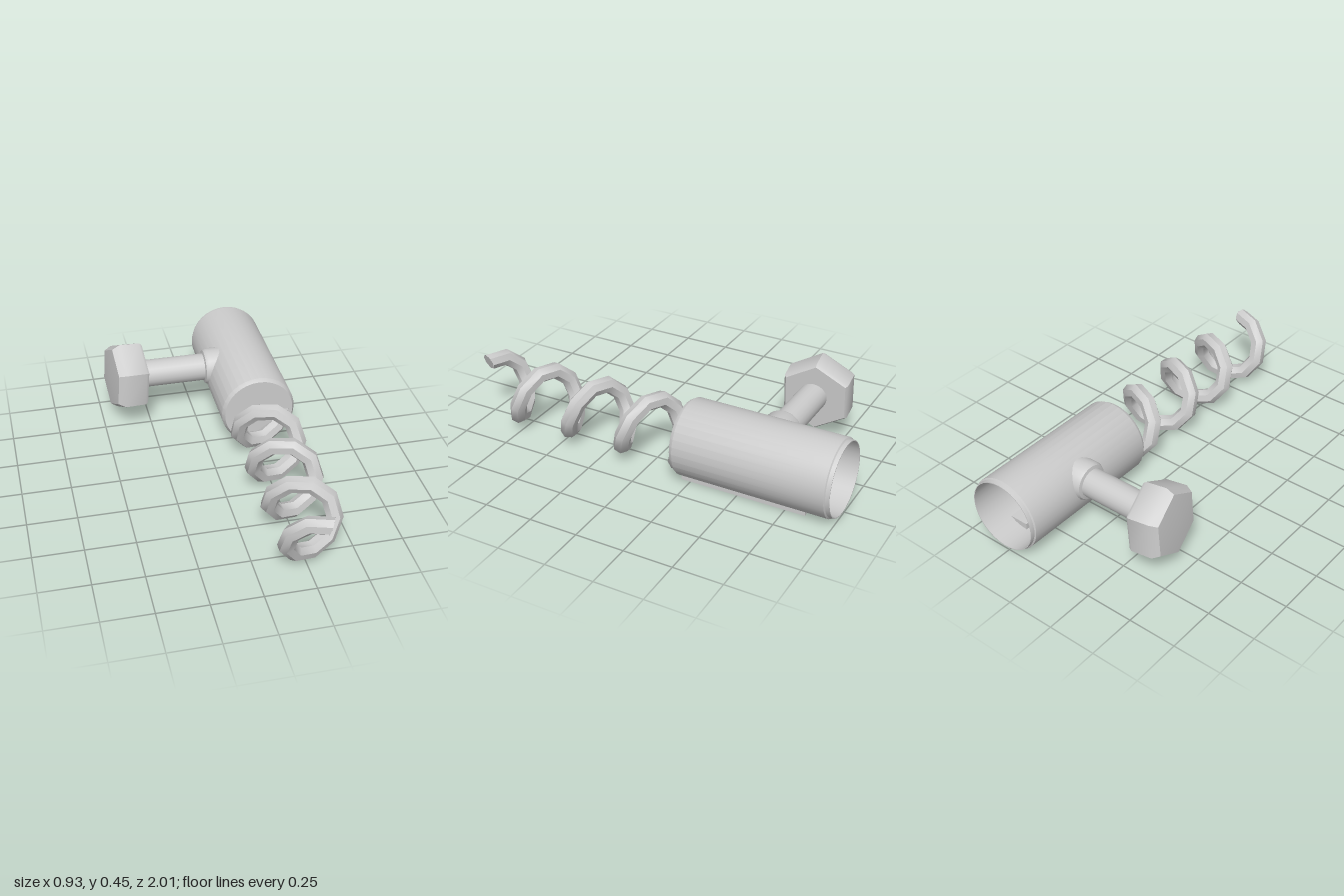
import * as THREE from 'three';
import { toCreasedNormals } from 'three/addons/utils/BufferGeometryUtils.js';

const CX = 0.274, CY = 0.202;   // common axis of the barrel and the coil
const BAR_Y = 0.257, BAR_Z = -0.6;

export function createModel() {
  const model = new THREE.Group();
  const mat = new THREE.MeshStandardMaterial({ color: 0xcccccc, side: THREE.DoubleSide });

  const add = (name, geo, x = 0, y = 0, z = 0) => {
    const mesh = new THREE.Mesh(geo, mat);
    mesh.name = name;
    mesh.position.set(x, y, z);
    model.add(mesh);
    return mesh;
  };
  const lathe = (pts, segments, start = 0) => toCreasedNormals(
    new THREE.LatheGeometry(pts.map(p => new THREE.Vector2(...p)), segments, start), 0.6);

  // Hollow barrel, open at the back, closed and bevelled at the front
  add('barrel', lathe([
    [0, -0.24], [0.182, -0.24], [0.182, -1], [0.186, -1], [0.188, -0.98],
    [0.195, -0.975], [0.195, -0.2], [0.182, -0.18], [0, -0.18],
  ], 32), CX, CY, 0).rotation.x = Math.PI / 2;

  // Flat strip along the underside of the barrel
  add('undersideStrip', new THREE.BoxGeometry(0.1, 0.04, 0.65), 0.325, 0.033, -0.53);

  // Coarse helix: starts inside the barrel face, ends at the top of the last turn
  const R = 0.138, r = 0.043, pitch = 0.31, z0 = -0.21, z1 = 0.965, topZ = 0.02;
  const turns = (z1 - z0) / pitch;
  class Helix extends THREE.Curve {
    getPoint(t, target = new THREE.Vector3()) {
      const z = z0 + (z1 - z0) * t;
      const a = (z - topZ) / pitch * Math.PI * 2;
      return target.set(0.27 + R * Math.sin(a), 0.2 + R * Math.cos(a), z);
    }
  }
  const helix = new Helix();
  helix.arcLengthDivisions = 400;
  add('coil', toCreasedNormals(
    new THREE.TubeGeometry(helix, Math.round(turns * 9), r, 7, false), 0.7));

  // Caps closing both coil ends
  for (const t of [0, 1]) {
    const cap = add('coilEnd', new THREE.CircleGeometry(r, 7));
    const p = helix.getPoint(t), dir = helix.getTangent(t).multiplyScalar(t ? 1 : -1);
    cap.position.copy(p);
    cap.quaternion.setFromUnitVectors(new THREE.Vector3(0, 0, 1), dir);
  }

  // Side bar entering the barrel
  add('sideBar', new THREE.CylinderGeometry(0.073, 0.073, 0.45, 24), -0.075, BAR_Y, BAR_Z)
    .rotation.z = Math.PI / 2;

  // Rounded collar where the bar meets the barrel
  add('collar', lathe([
    [0.07, 0.07], [0.07, -0.08], [0.098, -0.08], [0.098, 0.02], [0.09, 0.035], [0.07, 0.04],
  ], 24), 0.102, BAR_Y, BAR_Z).rotation.z = Math.PI / 2;

  // Hexagonal head, slightly tilted, bevelled on its outer face
  const head = add('hexHead', lathe([
    [0, 0], [0.178, 0], [0.19, 0.015], [0.192, 0.125], [0.168, 0.163], [0, 0.175],
  ], 6, Math.PI / 2), -0.281, 0.252, -0.612);
  const outward = new THREE.Vector3(-1, 0.07, 0.12).normalize();
  head.quaternion.setFromUnitVectors(new THREE.Vector3(-1, 0, 0), outward)
    .multiply(new THREE.Quaternion().setFromAxisAngle(new THREE.Vector3(0, 0, 1), Math.PI / 2));

  return model;
}
